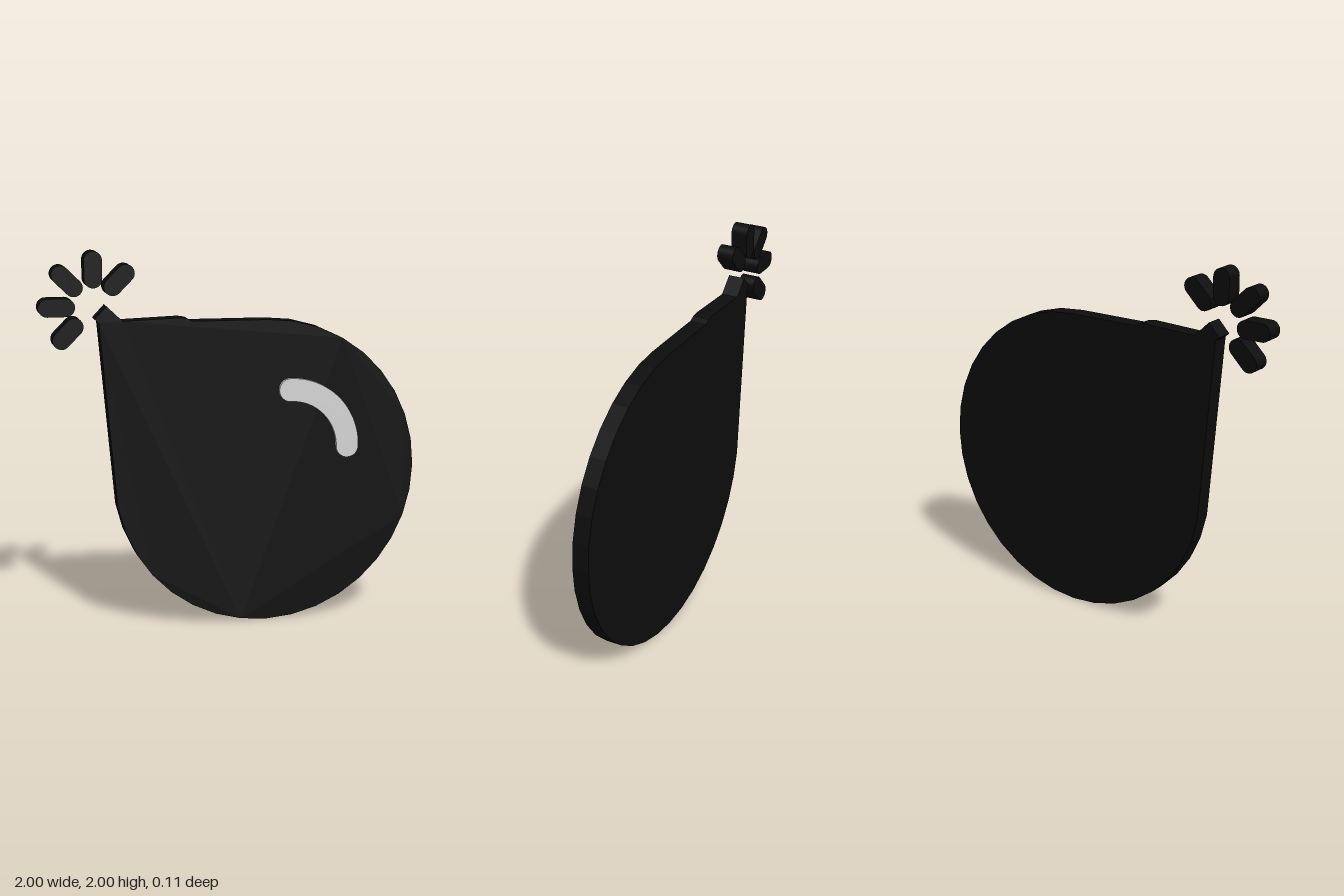
import * as THREE from 'three';

const BACK = -0.055, FACE = 0.035, FRONT = 0.055;

// Flat plate cut from a shape, spanning z0 to z1
function plate(name, shape, z0, z1, material, curveSegments = 8) {
  const geometry = new THREE.ExtrudeGeometry(shape, { depth: z1 - z0, bevelEnabled: false, curveSegments });
  geometry.translate(0, 0, z0);
  const mesh = new THREE.Mesh(geometry, material);
  mesh.name = name;
  return mesh;
}

// Round body drawn out to a square fuse neck
function bodyShape() {
  const cx = 0.187, cy = 0.815, r = 0.813;
  const points = [];
  for (let deg = 190; deg <= 450; deg += 10) {
    const a = THREE.MathUtils.degToRad(deg);
    points.push(new THREE.Vector2(cx + r * Math.cos(a), cy + r * Math.sin(a)));
  }
  const neck = [[-0.215, 1.632], [-0.237, 1.645], [-0.274, 1.652], [-0.573, 1.643],
    [-0.655, 1.722], [-0.717, 1.657], [-0.696, 1.638]];
  neck.forEach(([x, y]) => points.push(new THREE.Vector2(x, y)));
  return new THREE.Shape(points);
}

// Upright capsule centred on the origin
function capsuleShape(length, r) {
  const h = length / 2 - r;
  const s = new THREE.Shape();
  s.absarc(0, h, r, 0, Math.PI, false);
  s.absarc(0, -h, r, Math.PI, Math.PI * 2, false);
  s.closePath();
  return s;
}

// Quarter-ring band with round ends
function glintShape() {
  const cx = 0.308, cy = 0.94, r = 0.315, w = 0.061;
  const s = new THREE.Shape();
  s.absarc(cx, cy, r + w, 0, Math.PI / 2, false);
  s.absarc(cx, cy + r, w, Math.PI / 2, Math.PI * 1.5, false);
  s.absarc(cx, cy, r - w, Math.PI / 2, 0, true);
  s.absarc(cx + r, cy, w, Math.PI, Math.PI * 2, false);
  return s;
}

export function createModel() {
  const black = new THREE.MeshStandardMaterial({ color: 0x0d0d0d });
  black.name = 'black';
  const paleGrey = new THREE.MeshStandardMaterial({ color: 0xd6d6d6 });
  paleGrey.name = 'paleGrey';

  const model = new THREE.Group();
  model.name = 'bomb';
  model.add(plate('body', bodyShape(), BACK, FACE, black));
  model.add(plate('glint', glintShape(), FACE, FRONT, paleGrey, 12));

  // Five spark rays fanned around the fuse tip
  const sparks = new THREE.Group();
  sparks.name = 'sparks';
  for (let i = -1; i <= 3; i++) {
    const turn = i * Math.PI / 4;
    const ray = plate('sparkRay', capsuleShape(0.186, 0.046), BACK, FACE, black);
    ray.position.set(-0.72 - 0.187 * Math.sin(turn), 1.72 + 0.187 * Math.cos(turn), 0);
    ray.rotation.z = turn;
    sparks.add(ray);
  }
  model.add(sparks);
  return model;
}
